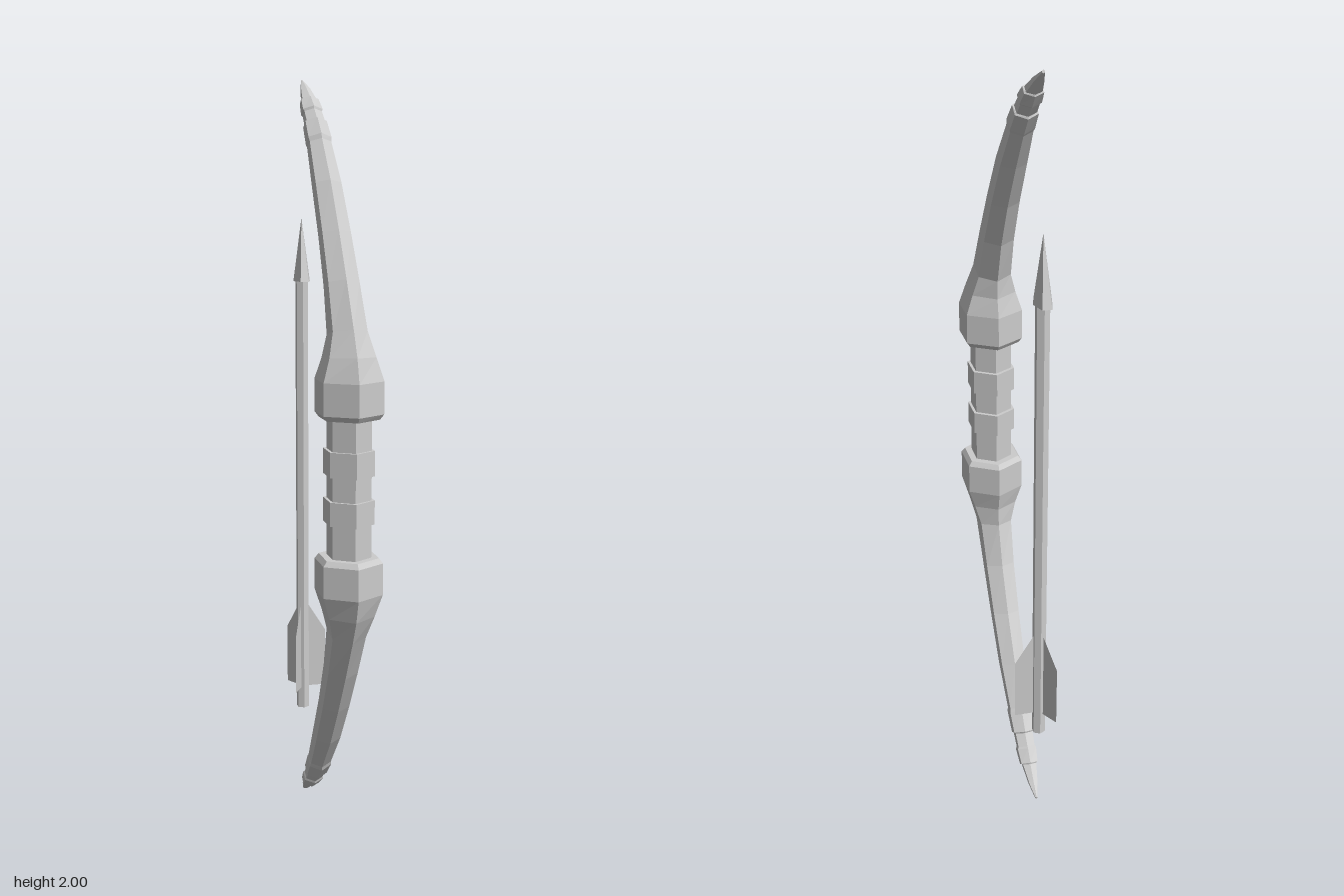
import * as THREE from 'three';

const material = new THREE.MeshStandardMaterial({ color: 0xcccccc, flatShading: true });
const thinMaterial = new THREE.MeshStandardMaterial({ color: 0xcccccc, flatShading: true, side: THREE.DoubleSide });

// Hexagonal ring with a ridge at front and back: [front z, front y, back z, back y, half width]
function hexRing([zf, yf, zb, yb, w]) {
  const at = (x, t) => new THREE.Vector3(x, yf + (yb - yf) * t, zf + (zb - zf) * t);
  return [at(0, 0), at(w, 0.26), at(w, 0.76), at(0, 1), at(-w, 0.76), at(-w, 0.26)];
}

// Joins rings listed from bottom to top and caps both ends
function loft(name, sections) {
  const rings = sections.map(hexRing);
  const pos = [];
  const tri = (...points) => points.forEach((p) => pos.push(p.x, p.y, p.z));
  for (let r = 0; r < rings.length - 1; r++) {
    const a = rings[r], b = rings[r + 1];
    for (let i = 0; i < 6; i++) {
      const j = (i + 1) % 6;
      tri(a[i], a[j], b[j]);
      tri(a[i], b[j], b[i]);
    }
  }
  const low = rings[0], high = rings[rings.length - 1];
  for (let i = 1; i < 5; i++) {
    tri(low[0], low[i + 1], low[i]);
    tri(high[0], high[i], high[i + 1]);
  }
  const geometry = new THREE.BufferGeometry();
  geometry.setAttribute('position', new THREE.Float32BufferAttribute(pos, 3));
  geometry.computeVertexNormals();
  const mesh = new THREE.Mesh(geometry, material);
  mesh.name = name;
  return mesh;
}

function createBow() {
  const bow = new THREE.Group();
  bow.name = 'bow';

  // Limb with its thick collar, curving back to a stepped tip
  const limb = [
    [0.325, 1.172, 0.155, 1.172, 0.066],
    [0.335, 1.185, 0.145, 1.185, 0.075],
    [0.335, 1.265, 0.145, 1.265, 0.075],
    [0.315, 1.325, 0.157, 1.315, 0.058],
    [0.28, 1.39, 0.155, 1.365, 0.043],
    [0.21, 1.505, 0.115, 1.475, 0.039],
    [0.135, 1.62, 0.05, 1.595, 0.036],
    [0.05, 1.74, -0.03, 1.715, 0.033],
    [-0.04, 1.843, -0.1, 1.812, 0.028],
    [-0.046, 1.856, -0.106, 1.818, 0.03],
    [-0.09, 1.897, -0.143, 1.862, 0.028],
    [-0.094, 1.894, -0.142, 1.868, 0.024],
    [-0.125, 1.92, -0.168, 1.894, 0.023],
    [-0.127, 1.927, -0.174, 1.896, 0.026],
    [-0.165, 1.953, -0.2, 1.926, 0.023],
    [-0.168, 1.95, -0.2, 1.931, 0.019],
    [-0.22, 1.98, -0.236, 1.965, 0.012],
    [-0.264, 2, -0.266, 1.992, 0.003],
  ];
  bow.add(loft('upperLimb', limb));
  const mirrored = limb.map(([zf, yf, zb, yb, w]) => [zf, 2 - yf, zb, 2 - yb, w]).reverse();
  bow.add(loft('lowerLimb', mirrored));

  // Straight grip and its two wrapped bands
  const straight = (name, y0, y1, zf, zb, w) => bow.add(loft(name, [[zf, y0, zb, y0, w], [zf, y1, zb, y1, w]]));
  straight('grip', 0.82, 1.18, 0.304, 0.176, 0.049);
  straight('lowerGripBand', 0.912, 0.972, 0.313, 0.165, 0.056);
  straight('upperGripBand', 1.032, 1.095, 0.313, 0.165, 0.056);
  return bow;
}

function createArrow() {
  const arrow = new THREE.Group();
  arrow.name = 'arrow';
  arrow.position.z = -0.278;

  const shaft = new THREE.Mesh(new THREE.CylinderGeometry(0.018, 0.018, 1.23, 6), material);
  shaft.name = 'arrowShaft';
  shaft.position.y = 0.865;

  // Flattened six-sided point
  const point = new THREE.ConeGeometry(1, 0.17, 6).rotateY(Math.PI / 6).scale(0.023, 1, 0.046);
  const head = new THREE.Mesh(point, material);
  head.name = 'arrowHead';
  head.position.y = 1.555;
  arrow.add(shaft, head);

  // Three thin vanes around the tail
  const outline = [[0.01, 0.31], [0.065, 0.31], [0.065, 0.475], [0.015, 0.555], [0.01, 0.555]];
  const vane = new THREE.ShapeGeometry(new THREE.Shape(outline.map(([x, y]) => new THREE.Vector2(x, y))));
  for (let i = 0; i < 3; i++) {
    const feather = new THREE.Mesh(vane, thinMaterial);
    feather.name = 'arrowVane' + (i + 1);
    feather.rotation.y = (i * Math.PI * 2) / 3;
    arrow.add(feather);
  }
  return arrow;
}

export function createModel() {
  const model = new THREE.Group();
  model.name = 'bowAndArrow';
  model.add(createBow(), createArrow());
  return model;
}
